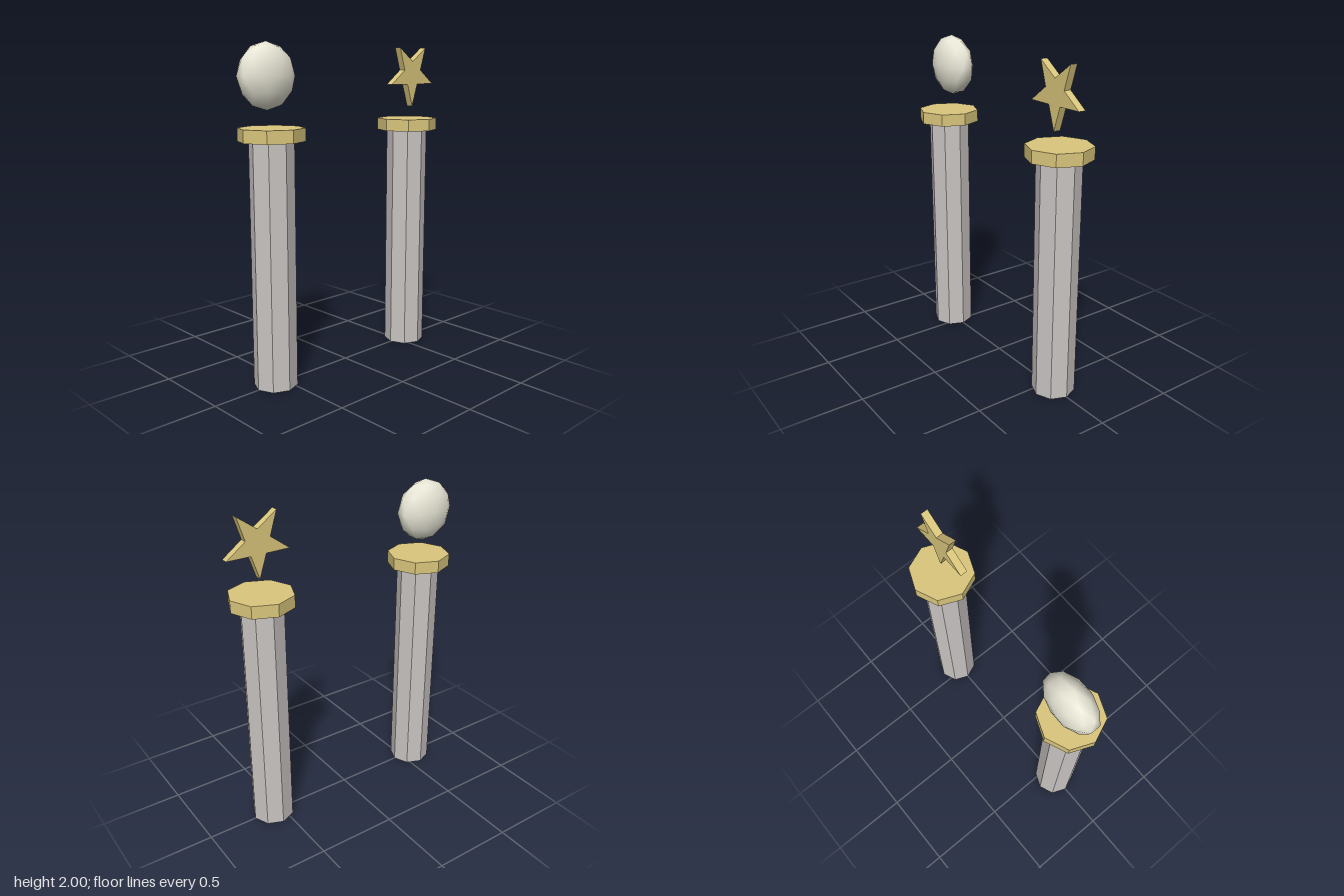
import * as THREE from 'three';

const mat = (color, flatShading = true) => new THREE.MeshStandardMaterial({ color, flatShading });

function addMesh(parent, name, geometry, material, x, y, z) {
  const mesh = new THREE.Mesh(geometry, material);
  mesh.name = name;
  mesh.position.set(x, y, z);
  parent.add(mesh);
  return mesh;
}

// Octagonal column with a wider octagonal cap
function makePillar(name, x, stone, gold) {
  const pillar = new THREE.Group();
  pillar.name = name;
  pillar.position.x = x;
  addMesh(pillar, 'shaft', new THREE.CylinderGeometry(0.13, 0.13, 1.45, 8), stone, 0, 0.725, 0);
  addMesh(pillar, 'cap', new THREE.CylinderGeometry(0.193, 0.193, 0.075, 8), gold, 0, 1.4875, 0);
  return pillar;
}

// Subdivided icosahedron with its poles on the y axis
function poleIcosphere() {
  const h = Math.sqrt(0.2), r = 2 * h;
  const points = [0, 1, 0], faces = [];
  for (const [y, turn] of [[h, 0], [-h, 0.5]]) {
    for (let k = 0; k < 5; k++) {
      const a = (k + turn) * Math.PI * 0.4;
      points.push(r * Math.cos(a), y, -r * Math.sin(a));
    }
  }
  points.push(0, -1, 0);
  for (let k = 0; k < 5; k++) {
    const n = (k + 1) % 5;
    const u = 1 + k, u2 = 1 + n, l = 6 + k, l2 = 6 + n;
    faces.push(0, u, u2, u, l, u2, l, l2, u2, 11, l2, l);
  }
  return new THREE.PolyhedronGeometry(points, faces, 1, 1);
}

// Five-pointed star standing on one tip
function starGeometry(outer, inner, depth) {
  const points = [];
  for (let i = 0; i < 10; i++) {
    const a = -Math.PI / 2 + i * Math.PI / 5;
    const r = i % 2 ? inner : outer;
    points.push(new THREE.Vector2(r * Math.cos(a), r * Math.sin(a)));
  }
  return new THREE.ExtrudeGeometry(new THREE.Shape(points), { depth, bevelEnabled: false });
}

export function createModel() {
  const model = new THREE.Group();
  model.name = 'pillarPair';
  const stone = mat(0xcac5c3);
  const gold = mat(0xdac67c);

  const right = makePillar('rightPillar', -0.57, stone, gold);
  const left = makePillar('leftPillar', 0.56, stone, gold);
  model.add(right, left);

  // Flattened ball floating over the right pillar
  const ball = poleIcosphere().scale(0.19, 0.19, 0.105);
  addMesh(right, 'ball', ball, mat(0xebe9d8, false), 0, 1.81, -0.035);

  // Star floating over the left pillar
  addMesh(left, 'star', starGeometry(0.206, 0.08, 0.045), gold, 0, 1.81, 0);

  return model;
}
